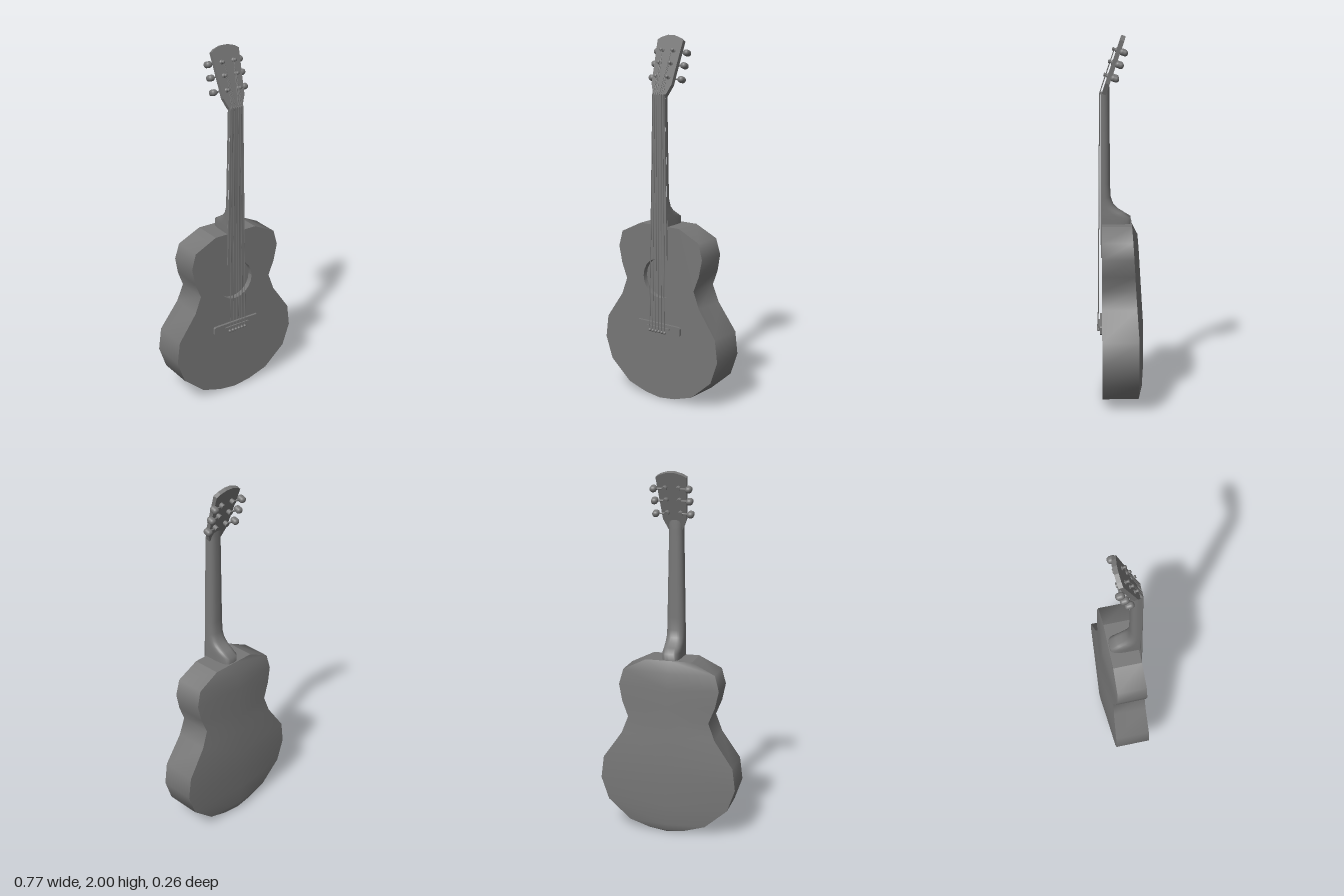
import * as THREE from 'three';
import { RoundedBoxGeometry } from 'three/addons/geometries/RoundedBoxGeometry.js';

const material = new THREE.MeshStandardMaterial({ color: 0x777777 });
const FRONT = 0.096; // z of the soundboard
const HOLE = { y: 0.69, r: 0.111, sides: 20 };

function add(parent, name, geometry, x = 0, y = 0, z = 0) {
  const mesh = new THREE.Mesh(geometry, material);
  mesh.name = name;
  mesh.position.set(x, y, z);
  parent.add(mesh);
  return mesh;
}

// Smooth skin over rows of points; it faces (along row) x (row to row)
function skin(rows) {
  const n = rows[0].length, index = [];
  for (let i = 0; i < rows.length - 1; i++) {
    for (let j = 0; j < n - 1; j++) {
      const a = i * n + j, b = a + 1, c = a + n, d = c + 1;
      index.push(a, b, c, b, d, c);
    }
  }
  const g = new THREE.BufferGeometry();
  g.setAttribute('position', new THREE.Float32BufferAttribute(rows.flat(2), 3));
  g.setIndex(index);
  g.computeVertexNormals();
  return g;
}

function plate(points, depth) {
  const shape = new THREE.Shape(points.map(p => new THREE.Vector2(...p)));
  return new THREE.ExtrudeGeometry(shape, { depth, bevelEnabled: false });
}

const mirrored = half => [...half, ...half.map(([x, y]) => [-x, y]).reverse()];

function buildBody(parent) {
  const body = new THREE.Group();
  body.name = 'body';
  parent.add(body);

  // Half outline from the shoulder down to the tail
  const half = [[0.13, 0.985], [0.259, 0.922], [0.283, 0.835], [0.263, 0.74], [0.229, 0.655],
    [0.265, 0.56], [0.37, 0.41], [0.386, 0.285], [0.343, 0.16], [0.217, 0.05], [0.1, 0.013], [0, 0]];
  const arch = half.map((_, i) => [0, 0.028, 0.03][i] ?? [0, 0.011, 0.024][half.length - 1 - i] ?? 0.03);
  const rimZ = y => -0.1 + 0.035 * Math.max(0, (y - 0.41) / 0.575);
  const loop = [...half].reverse().concat(half.map(([x, y]) => [-x, y]));

  // Sides: the upper edge is separate so that its corners stay crisp
  const wall = pts => skin([pts.map(([x, y]) => [x, y, rimZ(y)]), pts.map(([x, y]) => [x, y, FRONT])]);
  const n = half.length;
  add(body, 'rightSide', wall(loop.slice(n)));
  add(body, 'leftSide', wall(loop.slice(0, n)));
  add(body, 'topSide', wall(loop.slice(n - 1, n + 1)));

  // Gently arched back with a ridge on the centre line
  add(body, 'back', skin(half.map(([x, y], i) => {
    const z = rimZ(y);
    return [[-x, y, z], [0, y, z - arch[i]], [x, y, z]];
  })));

  // Soundboard with a shallow round sound hole
  const circle = Array.from({ length: HOLE.sides + 1 }, (_, i) => {
    const t = i / HOLE.sides * Math.PI * 2;
    return [HOLE.r * Math.cos(t), HOLE.y + HOLE.r * Math.sin(t)];
  });
  const board = new THREE.Shape(loop.slice(1).map(p => new THREE.Vector2(...p)));
  board.holes.push(new THREE.Path(circle.slice(0, -1).map(p => new THREE.Vector2(...p))));
  add(body, 'soundboard', new THREE.ShapeGeometry(board), 0, 0, FRONT);
  const deep = FRONT - 0.03;
  add(body, 'soundHoleWall', skin([FRONT, deep].map(z => circle.map(([x, y]) => [x, y, z]))));
  add(body, 'soundHoleFloor', new THREE.CircleGeometry(HOLE.r, HOLE.sides), 0, HOLE.y, deep);
}

function buildBridge(parent) {
  const bridge = new THREE.Group();
  bridge.name = 'bridge';
  parent.add(bridge);
  add(bridge, 'bridgePlate', plate(mirrored([[0.04, 0.364], [0.085, 0.384], [0.14, 0.389],
    [0.148, 0.397], [0.148, 0.43], [0.14, 0.438]]), 0.014), 0, 0, FRONT);
  add(bridge, 'saddle', new THREE.BoxGeometry(0.156, 0.008, 0.01), 0, 0.416, 0.113);
  for (let i = 0; i < 6; i++) {
    add(bridge, 'bridgePin', new THREE.SphereGeometry(0.009, 10, 8), (i - 2.5) * 0.0205, 0.394, 0.118);
  }
}

function buildNeck(parent) {
  const neck = new THREE.Group();
  neck.name = 'neck';
  parent.add(neck);
  // Rounded sections: height, half width, back z, roundness (smaller is boxier)
  const sections = [[0.975, 0.053, -0.06, 0.5], [1.02, 0.053, -0.06, 0.5], [1.045, 0.052, -0.02, 0.55],
    [1.065, 0.052, 0.012, 0.6], [1.09, 0.051, 0.035, 0.7], [1.13, 0.051, 0.049, 0.8],
    [1.2, 0.05, 0.053, 0.8], [1.69, 0.04, 0.055, 0.8], [1.76, 0.045, 0.057, 0.8]];
  add(neck, 'neckShaft', skin(sections.map(([y, w, back, round]) => {
    const front = y > 1.7 ? 0.066 : FRONT;
    return Array.from({ length: 17 }, (_, j) => {
      const t = j / 16 * Math.PI, c = Math.cos(t);
      return [w * Math.sign(c) * Math.abs(c) ** round, y, front - (front - back) * Math.sin(t) ** round];
    });
  })));
  add(neck, 'fingerboard', plate([[-0.056, 0.8], [0.056, 0.8], [0.04, 1.69], [-0.04, 1.69]], 0.008), 0, 0, FRONT);
  add(neck, 'nut', new THREE.BoxGeometry(0.08, 0.01, 0.018), 0, 1.692, 0.097);
}

const POST_X = 0.037, POST_Y = [0.099, 0.174, 0.243];

function buildHeadstock(parent) {
  // Local z = 0 is the front face; the whole head leans back
  const head = new THREE.Group();
  head.name = 'headstock';
  head.position.set(0, 1.69, FRONT);
  head.rotation.x = -0.33;
  parent.add(head);
  add(head, 'headstockPlate', plate(mirrored([[0.04, 0], [0.066, 0.06], [0.07, 0.12],
    [0.084, 0.3], [0.06, 0.315], [0.02, 0.327]]), 0.023), 0, 0, -0.023);

  for (const side of [1, -1]) {
    for (const y of POST_Y) {
      const tuner = new THREE.Group();
      tuner.name = side > 0 ? 'leftTuner' : 'rightTuner';
      tuner.position.set(side * POST_X, y, 0);
      head.add(tuner);
      // String post: stepped profile turned about the local z axis
      const profile = [[0.012, 0], [0.012, 0.004], [0.007, 0.005], [0.006, 0.013], [0.009, 0.018], [0.008, 0.023], [0, 0.024]];
      add(tuner, 'stringPost', new THREE.LatheGeometry(profile.map(p => new THREE.Vector2(...p)), 12)).rotation.x = Math.PI / 2;
      // Gear housing, shaft and button behind the head
      add(tuner, 'gearHousing', new THREE.CylinderGeometry(0.013, 0.013, 0.024, 12), 0, 0, -0.034).rotation.x = Math.PI / 2;
      add(tuner, 'tunerShaft', new THREE.CylinderGeometry(0.005, 0.005, 0.05, 8), side * 0.025, 0, -0.037).rotation.z = Math.PI / 2;
      add(tuner, 'tunerButton', new RoundedBoxGeometry(0.037, 0.034, 0.047, 4, 0.016), side * 0.059, 0, -0.039);
    }
  }
  head.updateMatrix();
  return head;
}

function buildStrings(parent, head) {
  for (let i = 0; i < 6; i++) {
    const k = i - 2.5, side = Math.sign(k);
    const row = i < 3 ? i : 5 - i; // outer strings reach the lowest posts
    const points = [
      new THREE.Vector3(k * 0.0205, 0.394, 0.118),
      new THREE.Vector3(k * 0.0205, 0.416, 0.12),
      new THREE.Vector3(k * 0.0135, 1.692, 0.108),
      new THREE.Vector3(side * (POST_X - 0.006), POST_Y[row], 0.013).applyMatrix4(head.matrix)];
    for (let j = 0; j < 3; j++) {
      const line = new THREE.LineCurve3(points[j], points[j + 1]);
      add(parent, 'string', new THREE.TubeGeometry(line, 1, 0.0025, 6));
    }
  }
}

export function createModel() {
  const guitar = new THREE.Group();
  guitar.name = 'acousticGuitar';
  buildBody(guitar);
  buildBridge(guitar);
  buildNeck(guitar);
  const head = buildHeadstock(guitar);
  buildStrings(guitar, head);
  return guitar;
}
